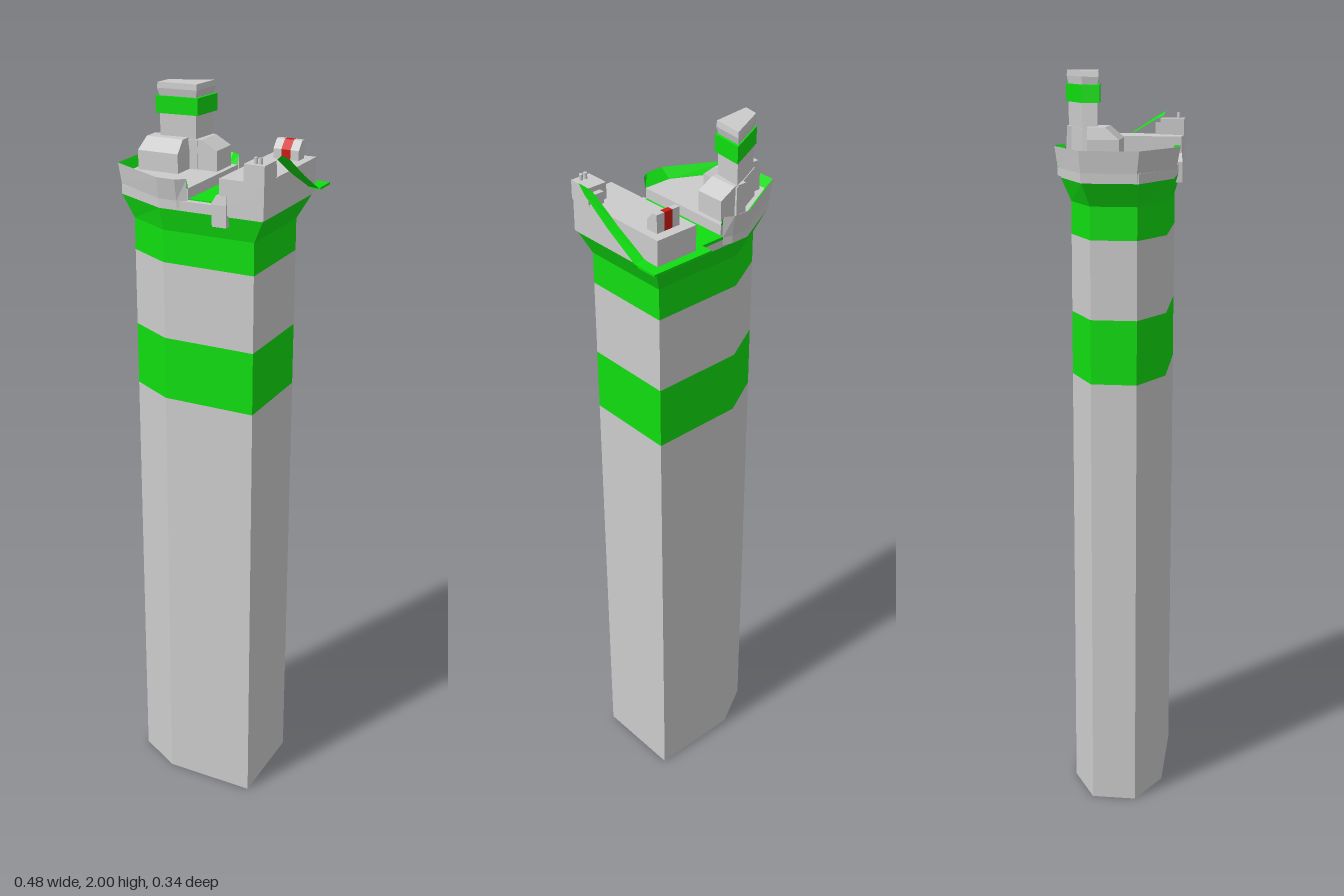
import * as THREE from 'three';

const GREY = 0xcccccc, GREEN = 0x11dd11, RED = 0xcc1a11;

function addMesh(parent, name, geometry, color, side = THREE.FrontSide) {
  const mesh = new THREE.Mesh(geometry, new THREE.MeshStandardMaterial({ color, side, flatShading: true }));
  mesh.name = name;
  parent.add(mesh);
  return mesh;
}

function fromPoints(points) {
  const geometry = new THREE.BufferGeometry();
  geometry.setAttribute('position', new THREE.Float32BufferAttribute(points.flat(), 3));
  geometry.computeVertexNormals();
  return geometry;
}

// Closed convex solid through [y, outline] levels; outlines are [x, z] points
function loft(levels) {
  const rings = levels.map(([y, outline]) => outline.map(([x, z]) => [x, y, z]));
  const pts = [], n = rings[0].length, top = rings[rings.length - 1], low = rings[0];
  for (let k = 0; k + 1 < rings.length; k++) {
    for (let i = 0; i < n; i++) {
      const j = (i + 1) % n, a = rings[k], b = rings[k + 1];
      pts.push(a[i], a[j], b[j], a[i], b[j], b[i]);
    }
  }
  for (let i = 1; i + 1 < n; i++) {
    pts.push(top[0], top[i], top[i + 1], low[0], low[i + 1], low[i]);
  }
  return fromPoints(pts);
}

// Open strip between two paths of [x, y, z] points
function ribbon(a, b) {
  const pts = [];
  for (let i = 0; i + 1 < a.length; i++) {
    pts.push(a[i], a[i + 1], b[i + 1], a[i], b[i + 1], b[i]);
  }
  return fromPoints(pts);
}

const rect = (x0, x1, z0, z1) => [[x0, z0], [x0, z1], [x1, z1], [x1, z0]];
const box = (x0, x1, y0, y1, z0, z1) => loft([[y0, rect(x0, x1, z0, z1)], [y1, rect(x0, x1, z0, z1)]]);
const at = (outline, y) => outline.map(([x, z]) => [x, y, z]);

// Six-sided plan of the tower
const plan = (x0, x1, z0, z1, chamferX, inset) => [
  [x0, z0 + inset], [x0, z1 - inset], [chamferX, z1], [x1, z1], [x1, z0], [chamferX, z0],
];

export function createModel() {
  const group = new THREE.Group();
  const shaft = plan(-0.2, 0.175, -0.11, 0.14, -0.08, 0.065);
  const lip = plan(-0.232, 0.205, -0.137, 0.157, -0.08, 0.075);

  // Shaft in stacked bands
  [[0, 1.21, GREY], [1.21, 1.38, GREEN], [1.38, 1.585, GREY], [1.585, 1.67, GREEN]].forEach(([y0, y1, color], i) =>
    addMesh(group, `shaftBand${i + 1}`, loft([[y0, shaft], [y1, shaft]]), color));
  addMesh(group, 'flaredCollar', loft([[1.67, shaft], [1.73, lip]]), GREEN);
  addMesh(group, 'platformRim', loft([[1.73, lip], [1.755, lip]]), GREY);
  addMesh(group, 'walkwayFloor', box(-0.005, 0.09, 1.75, 1.758, -0.138, 0.14), GREEN);

  // Raised deck with its bulwark, open towards the walkway
  const deck = [[-0.226, -0.055], [-0.226, 0.07], [-0.083, 0.145], [-0.005, 0.145], [-0.005, -0.13], [-0.083, -0.13]];
  addMesh(group, 'upperDeck', loft([[1.74, deck], [1.785, deck]]), GREY);
  const rimLow = [[-0.005, -0.137], [-0.03, -0.145], [-0.08, -0.145], [-0.235, -0.064],
    [-0.235, 0.077], [-0.08, 0.16], [-0.03, 0.16], [-0.005, 0.15]];
  const rimTop = [[-0.005, -0.138], [-0.03, -0.153], [-0.08, -0.153], [-0.241, -0.068],
    [-0.241, 0.083], [-0.08, 0.17], [-0.03, 0.17], [-0.005, 0.152]];
  const rimIn = [[-0.005, -0.13], [-0.03, -0.13], [-0.083, -0.13], [-0.226, -0.055],
    [-0.226, 0.07], [-0.083, 0.145], [-0.03, 0.145], [-0.005, 0.145]];
  addMesh(group, 'bulwarkFoot', ribbon(at(rimLow, 1.735), at(rimLow, 1.755)), GREY, THREE.DoubleSide);
  addMesh(group, 'bulwarkOutside', ribbon(at(rimLow, 1.755), at(rimTop, 1.81)), GREY, THREE.DoubleSide);
  addMesh(group, 'bulwarkInside', ribbon(at(rimTop, 1.81), at(rimIn, 1.785)), GREEN, THREE.DoubleSide);

  // Turret with band and cap
  const turret = [[-0.175, -0.067], [-0.182, -0.025], [-0.076, -0.036], [-0.066, -0.12]];
  const center = [-0.124, -0.066];
  const scaled = (s) => turret.map(([x, z]) => [center[0] + (x - center[0]) * s, center[1] + (z - center[1]) * s]);
  addMesh(group, 'turretBase', loft([[1.78, scaled(1.08)], [1.86, scaled(1.03)]]), GREY);
  addMesh(group, 'turretBody', loft([[1.86, scaled(0.93)], [1.925, scaled(0.93)]]), GREY);
  addMesh(group, 'turretBand', loft([[1.922, scaled(1.08)], [1.966, scaled(1.08)]]), GREEN);
  addMesh(group, 'turretCap', loft([[1.966, scaled(0.93)], [1.985, scaled(1.03)], [2, scaled(1)]]), GREY);

  // Lower houses beside the turret
  addMesh(group, 'frontHouse', loft([
    [1.78, rect(-0.212, -0.096, -0.05, 0.03)], [1.835, rect(-0.212, -0.096, -0.05, 0.03)],
    [1.865, rect(-0.205, -0.1, -0.05, -0.005)]]), GREY);
  addMesh(group, 'sideHouse', loft([
    [1.78, rect(-0.1, -0.018, -0.116, -0.036)], [1.838, rect(-0.1, -0.018, -0.116, -0.036)],
    [1.862, rect(-0.1, -0.062, -0.116, -0.036)]]), GREY);

  // Side block and its fittings
  addMesh(group, 'sideBlock', box(0.09, 0.21, 1.735, 1.825, -0.147, 0.163), GREY);
  addMesh(group, 'equipmentBox', box(0.157, 0.212, 1.82, 1.868, 0.1, 0.165), GREY);
  addMesh(group, 'equipmentBack', box(0.177, 0.207, 1.82, 1.855, 0.085, 0.1), GREY);
  for (const x of [0.181, 0.194]) {
    const stub = addMesh(group, 'stub', new THREE.CylinderGeometry(0.005, 0.005, 0.016, 10), GREY);
    stub.position.set(x, 1.875, 0.149);
  }
  addMesh(group, 'hangingBracket', loft([
    [1.705, rect(0.073, 0.112, 0.14, 0.168)], [1.76, rect(0.07, 0.112, 0.125, 0.168)],
    [1.782, rect(0.082, 0.112, 0.135, 0.165)]]), GREY);

  // Striped locker on the block
  [[0.118, 0.14, GREY], [0.14, 0.165, RED], [0.165, 0.188, GREY]].forEach(([x0, x1, color]) =>
    addMesh(group, 'lockerSection', loft([
      [1.82, rect(x0, x1, -0.12, -0.085)], [1.85, rect(x0, x1, -0.12, -0.085)],
      [1.872, rect(x0, x1, -0.12, -0.105)]]), color));

  // Thin wing rising along the side, with a flat rear flange
  const wingIn = [[0.205, 1.755, -0.17], [0.205, 1.76, -0.1], [0.209, 1.81, -0.005], [0.21, 1.864, 0.085], [0.216, 1.872, 0.103]];
  const wingOut = [[0.24, 1.755, -0.17], [0.24, 1.757, -0.1], [0.24, 1.812, -0.005], [0.239, 1.868, 0.08], [0.232, 1.885, 0.11]];
  addMesh(group, 'sideWing', ribbon(wingIn, wingOut), GREEN, THREE.DoubleSide);
  addMesh(group, 'rearFlange', box(0.062, 0.24, 1.752, 1.758, -0.171, -0.11), GREEN);
  addMesh(group, 'walkwayRamp', ribbon(
    [[0.062, 1.758, -0.11], [0.062, 1.795, -0.035]],
    [[0.092, 1.758, -0.11], [0.092, 1.795, -0.035]]), GREEN, THREE.DoubleSide);
  return group;
}
